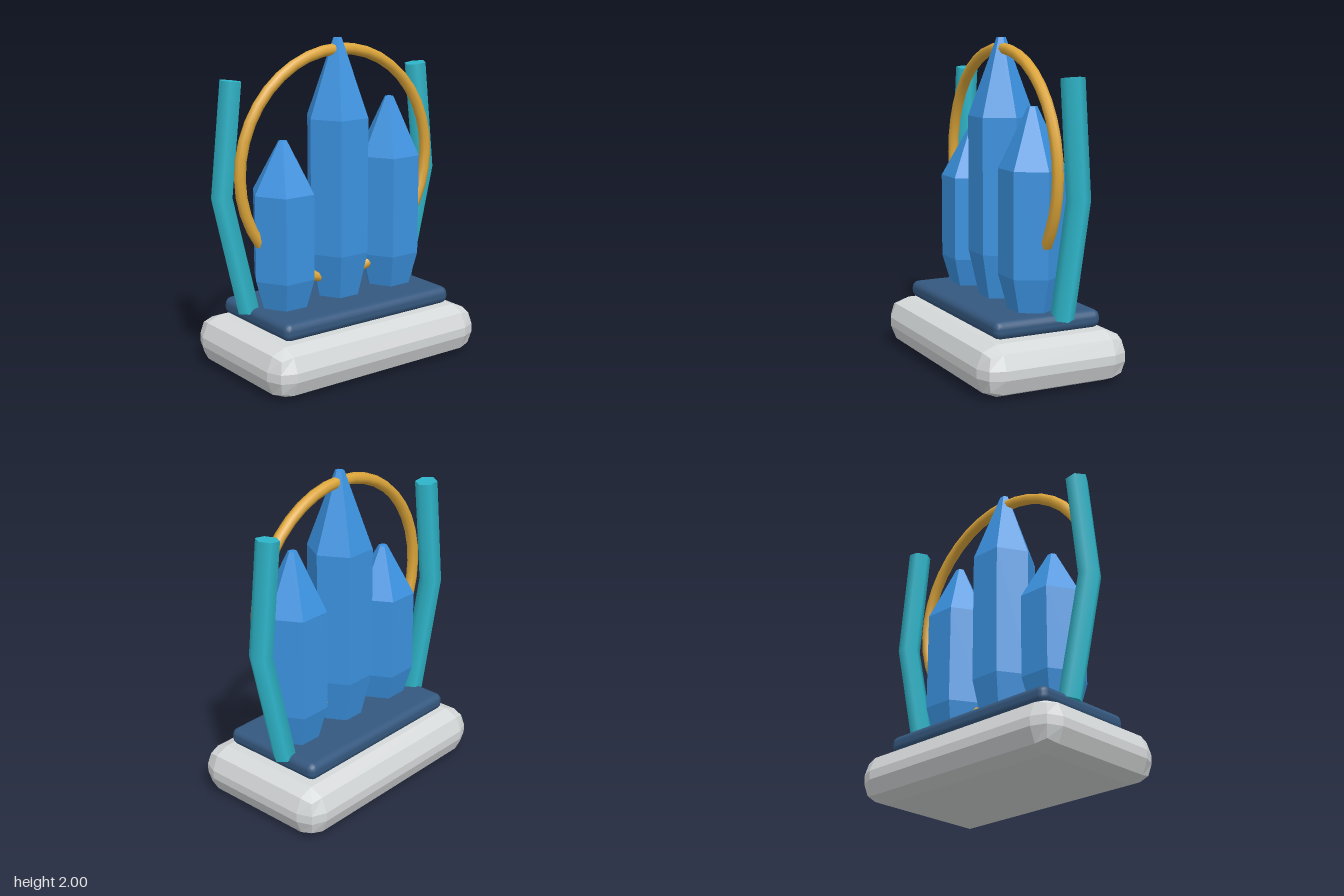
import * as THREE from 'three';
import { RoundedBoxGeometry } from 'three/addons/geometries/RoundedBoxGeometry.js';

const material = (name, color, flatShading = false) => {
  const m = new THREE.MeshStandardMaterial({ color, flatShading });
  m.name = name;
  return m;
};

// Six-sided crystal: narrow foot, straight shaft, pointed tip
function crystalGeometry(foot, low, high, top) {
  const profile = [[0, foot], [0.1, foot], [0.2, low], [0.2, high], [0.028, top], [0, top]]
    .map(([r, y]) => new THREE.Vector2(r, y));
  return new THREE.LatheGeometry(profile, 6, Math.PI / 2);
}

// Hexagonal rod bent once at mid length; side is +1 (left) or -1 (right)
function rodGeometry(side) {
  // centre x, centre y and end tilt for the bottom, bend and top rows
  const rows = [[0.595, 0.40, -0.23], [0.765, 1.115, -0.05], [0.69, 1.79, 0.12]];
  const geo = new THREE.CylinderGeometry(0.07, 0.07, 2, 6, 2);
  geo.rotateY(Math.PI / 2);
  const p = geo.attributes.position;
  for (let i = 0; i < p.count; i++) {
    const [cx, cy, tilt] = rows[Math.round(p.getY(i)) + 1];
    const x = p.getX(i);
    p.setXYZ(i, x + side * cx, cy + side * tilt * x, p.getZ(i) - 0.097);
  }
  return geo;
}

export function createModel() {
  const model = new THREE.Group();
  model.name = 'crystalDisplay';

  const stone = material('paleStone', 0xd6d9da, true);
  const navy = material('navy', 0x35587f);
  const blue = material('crystalBlue', 0x3b92e0, true);
  const teal = material('teal', 0x2eb5c9);
  const gold = material('gold', 0xdda63a);

  const add = (name, geometry, mat, x = 0, y = 0, z = 0) => {
    const mesh = new THREE.Mesh(geometry, mat);
    mesh.name = name;
    mesh.position.set(x, y, z);
    model.add(mesh);
  };

  // Stepped plinth
  add('base', new RoundedBoxGeometry(1.535, 0.305, 0.96, 1, 0.125), stone, 0, 0.1555);
  add('slab', new RoundedBoxGeometry(1.245, 0.108, 0.695, 2, 0.045), navy, 0, 0.37);

  // Three crystals in a row
  add('rightCrystal', crystalGeometry(0.26, 0.60, 1.12, 1.425), blue, -0.4);
  add('middleCrystal', crystalGeometry(0.26, 0.70, 1.53, 2.0), blue);
  add('leftCrystal', crystalGeometry(0.26, 0.63, 1.255, 1.615), blue, 0.4);

  // Ring threaded through the crystals
  add('ring', new THREE.TorusGeometry(0.7, 0.035, 8, 40), gold, 0, 1.235);

  // Bent rods behind the ring
  add('leftRod', rodGeometry(1), teal);
  add('rightRod', rodGeometry(-1), teal);

  return model;
}
